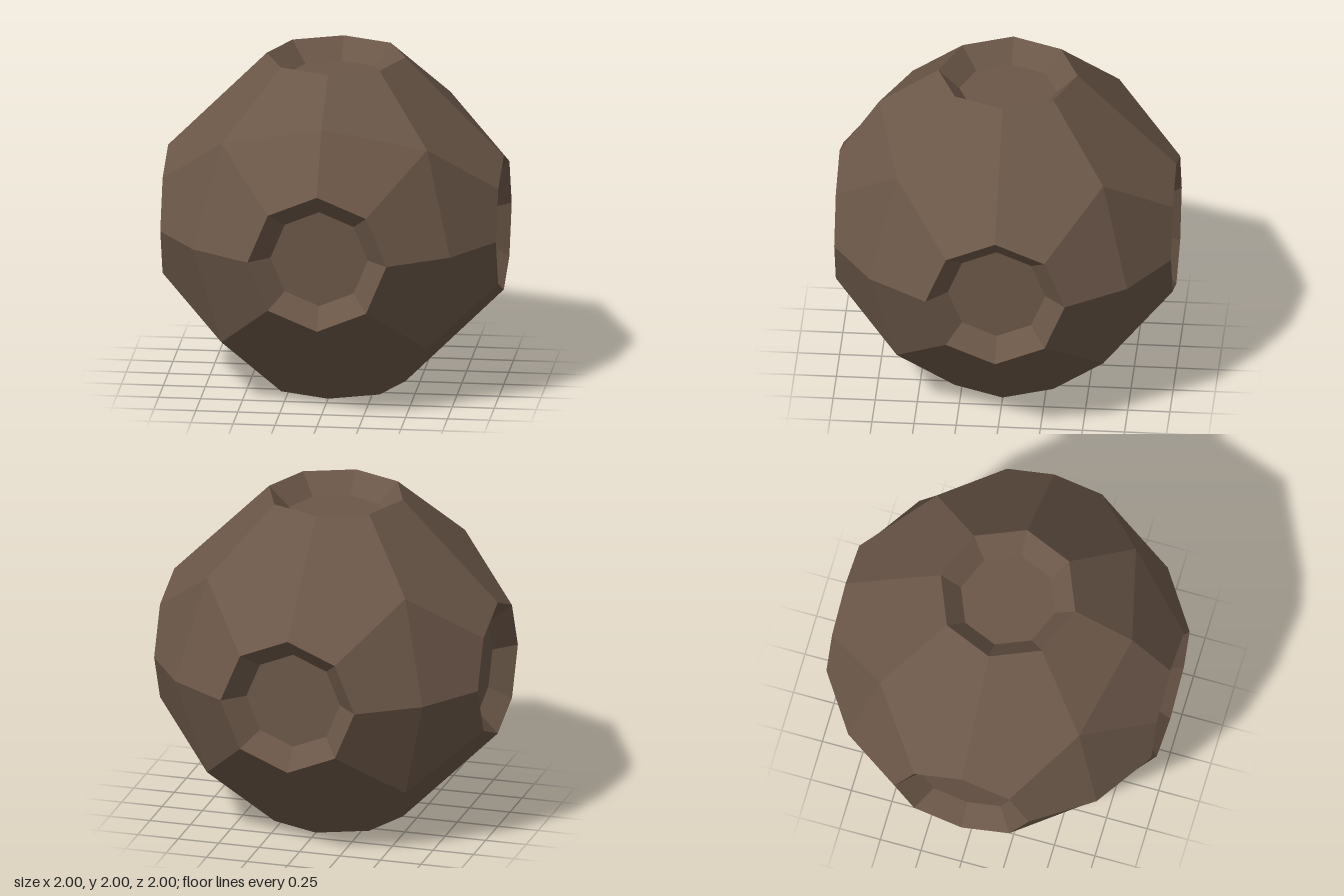
import * as THREE from 'three';

const RIM = 0.414, CORNER = 0.613, MID = 0.765; // opening radius, corner and edge-middle offsets
const FLOOR = 0.29, DEPTH = 0.12;               // recess floor radius and depth

const AXES = [[1, 0, 0], [0, 1, 0], [0, 0, 1]].map(a => new THREE.Vector3(...a));

// weighted sum of vectors: mix(v1, w1, v2, w2, ...)
function mix(...args) {
  const p = new THREE.Vector3();
  for (let i = 0; i < args.length; i += 2) p.addScaledVector(args[i], args[i + 1]);
  return p;
}

// collects polygons, fanned from their first corner, with one flat normal each
function makeFacets() {
  const pos = [], nor = [];
  return {
    add(poly, facing) {
      const n = new THREE.Vector3();
      poly.forEach((p, i) => n.add(p.clone().cross(poly[(i + 1) % poly.length])));
      const flip = n.dot(facing) < 0;
      n.normalize().multiplyScalar(flip ? -1 : 1);
      for (let i = 1; i < poly.length - 1; i++) {
        const tri = flip ? [poly[0], poly[i + 1], poly[i]] : [poly[0], poly[i], poly[i + 1]];
        for (const p of tri) { pos.push(p.x, p.y, p.z); nor.push(n.x, n.y, n.z); }
      }
    },
    mesh(name, material) {
      const g = new THREE.BufferGeometry();
      g.setAttribute('position', new THREE.Float32BufferAttribute(pos, 3));
      g.setAttribute('normal', new THREE.Float32BufferAttribute(nor, 3));
      const m = new THREE.Mesh(g, material);
      m.name = name;
      return m;
    },
  };
}

export function createModel() {
  const group = new THREE.Group();
  group.name = 'facetedBall';
  const brown = new THREE.MeshStandardMaterial({ color: 0x6b5748 });
  brown.name = 'brown';
  const body = new THREE.Group();
  body.position.y = 1;
  group.add(body);

  // outer shell: two facet patches on each of the twelve edges between openings
  const shell = makeFacets();
  const diag = RIM * Math.SQRT1_2;
  for (let i = 0; i < 3; i++) {
    for (let q = 0; q < 8; q++) {
      const [sa, sb, sw] = [1, 2, 4].map(bit => (q & bit ? -1 : 1));
      const A = AXES[i].clone().multiplyScalar(sa);
      const B = AXES[(i + 1) % 3].clone().multiplyScalar(sb);
      const W = AXES[(i + 2) % 3].clone().multiplyScalar(sw);
      const a0 = mix(A, 1, B, RIM), a1 = mix(B, 1, A, RIM);
      const d0 = mix(A, 1, B, diag, W, diag), d1 = mix(B, 1, A, diag, W, diag);
      const c = mix(A, CORNER, B, CORNER, W, CORNER);
      const out = mix(A, 1, B, 1);
      // the upright edges and the top front edge have a raised middle
      const raised = out.y === 0 || (out.y > 0 && out.z > 0);
      if (raised) {
        const m = mix(A, MID, B, MID);
        shell.add([a0, d0, c, m], out);
        shell.add([a1, d1, c, m], out);
      } else {
        shell.add([c, d0, a0, a1, d1], out);
      }
    }
  }
  body.add(shell.mesh('shell', brown));

  // six octagonal recesses with sloped walls
  const names = ['left', 'right', 'top', 'bottom', 'front', 'back'];
  for (let i = 0; i < 6; i++) {
    const axis = i >> 1;
    const N = AXES[axis].clone().multiplyScalar(i % 2 ? -1 : 1);
    const U = AXES[(axis + 1) % 3], V = AXES[(axis + 2) % 3];
    const ring = (r, h) => Array.from({ length: 8 }, (_, k) =>
      mix(N, h, U, r * Math.cos(k * Math.PI / 4), V, r * Math.sin(k * Math.PI / 4)));
    const rim = ring(RIM, 1), floor = ring(FLOOR, 1 - DEPTH);
    const recess = makeFacets();
    for (let k = 0; k < 8; k++) {
      const j = (k + 1) % 8;
      recess.add([rim[k], rim[j], floor[j], floor[k]], N);
    }
    recess.add(floor, N);
    body.add(recess.mesh(names[i] + 'Recess', brown));
  }
  return group;
}
